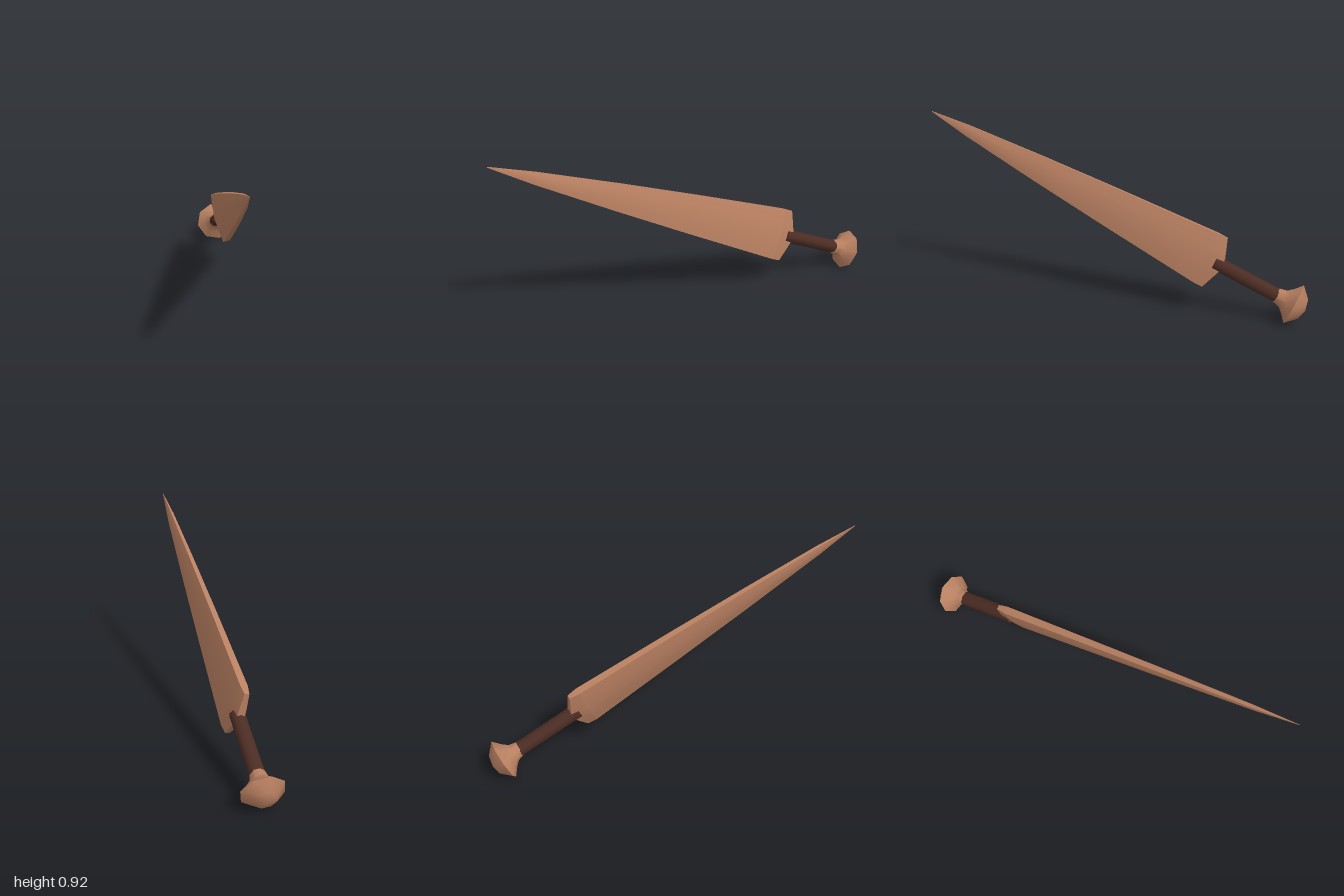
import * as THREE from 'three';
import { toCreasedNormals } from 'three/addons/utils/BufferGeometryUtils.js';

const copper = new THREE.MeshStandardMaterial({ color: 0xb98061 });
copper.name = 'copper';
const darkWood = new THREE.MeshStandardMaterial({ color: 0x4c2d24 });
darkWood.name = 'darkWood';

// Cross-section across the blade: [width fraction, thickness fraction]
const half = [[-1, 0.6], [-0.5, 0.9], [0, 1], [0.5, 0.9], [1, 0.6]];
const section = [...half, ...half.map(([w, t]) => [-w, -t])];

// Skin closed rings of points (running along +y) and cap both ends
function loft(rings) {
  const n = rings[0].length, pos = [], index = [];
  rings.forEach(r => r.forEach(p => pos.push(...p)));
  for (let i = 0; i < rings.length - 1; i++) {
    for (let j = 0; j < n; j++) {
      const a = i * n + j, b = i * n + (j + 1) % n;
      index.push(a, a + n, b, b, a + n, b + n);
    }
  }
  // End caps as strips across the section
  const last = (rings.length - 1) * n;
  for (let j = 0; j < n / 2 - 1; j++) {
    const a = j, b = j + 1, c = n - 2 - j, d = n - 1 - j;
    index.push(a, b, c, a, c, d);
    index.push(last + a, last + c, last + b, last + a, last + d, last + c);
  }
  const g = new THREE.BufferGeometry();
  g.setAttribute('position', new THREE.Float32BufferAttribute(pos, 3));
  g.setIndex(index);
  return toCreasedNormals(g, 0.45);
}

// Ring at height y; lift raises the outer corners along the blade
function ring(y, width, thick, lift = 0) {
  return section.map(([w, t]) => [t * thick, y + lift * Math.abs(w), w * width]);
}

export function createModel() {
  const dagger = new THREE.Group();
  dagger.name = 'dagger';
  const add = (name, geometry, material) => {
    const mesh = new THREE.Mesh(geometry, material);
    mesh.name = name;
    dagger.add(mesh);
    return mesh;
  };

  // Domed eight-sided pommel with flared neck
  const profile = [[0, -0.06], [0.055, -0.046], [0.108, 0.004], [0.07, 0.036], [0.046, 0.062], [0.037, 0.1]]
    .map(([r, y]) => new THREE.Vector2(r, y));
  add('pommel', toCreasedNormals(new THREE.LatheGeometry(profile, 8), 0.8), copper);

  // Grip, slightly oval
  const grip = add('grip', new THREE.CylinderGeometry(1, 1, 0.37, 8), darkWood);
  grip.scale.set(0.039, 1, 0.036);
  grip.position.y = 0.255;

  // Shoulder tapering from the blade down to the grip
  add('shoulder', loft([ring(0.39, 0.139, 0.02, 0.05), ring(0.48, 0.139, 0.032, 0.012)]), copper);

  // Long tapering blade
  add('blade', loft([
    ring(0.48, 0.139, 0.032, 0.012),
    ring(1.03, 0.102, 0.025),
    ring(1.47, 0.068, 0.019),
    ring(1.9, 0.03, 0.012),
    ring(2.13, 0.002, 0.001),
  ]), copper);

  // Lean the whole dagger: y runs pommel to tip, z across the blade
  const along = new THREE.Vector3(-0.307, 0.825, 1.94).normalize();
  const across = new THREE.Vector3(-0.022, 0.127, -0.057);
  across.addScaledVector(along, -across.dot(along)).normalize();
  const side = new THREE.Vector3().crossVectors(along, across);
  dagger.quaternion.setFromRotationMatrix(new THREE.Matrix4().makeBasis(side, along, across));
  dagger.position.set(0.1, 0.101, -0.94);

  const model = new THREE.Group();
  model.name = 'model';
  model.add(dagger);
  return model;
}
